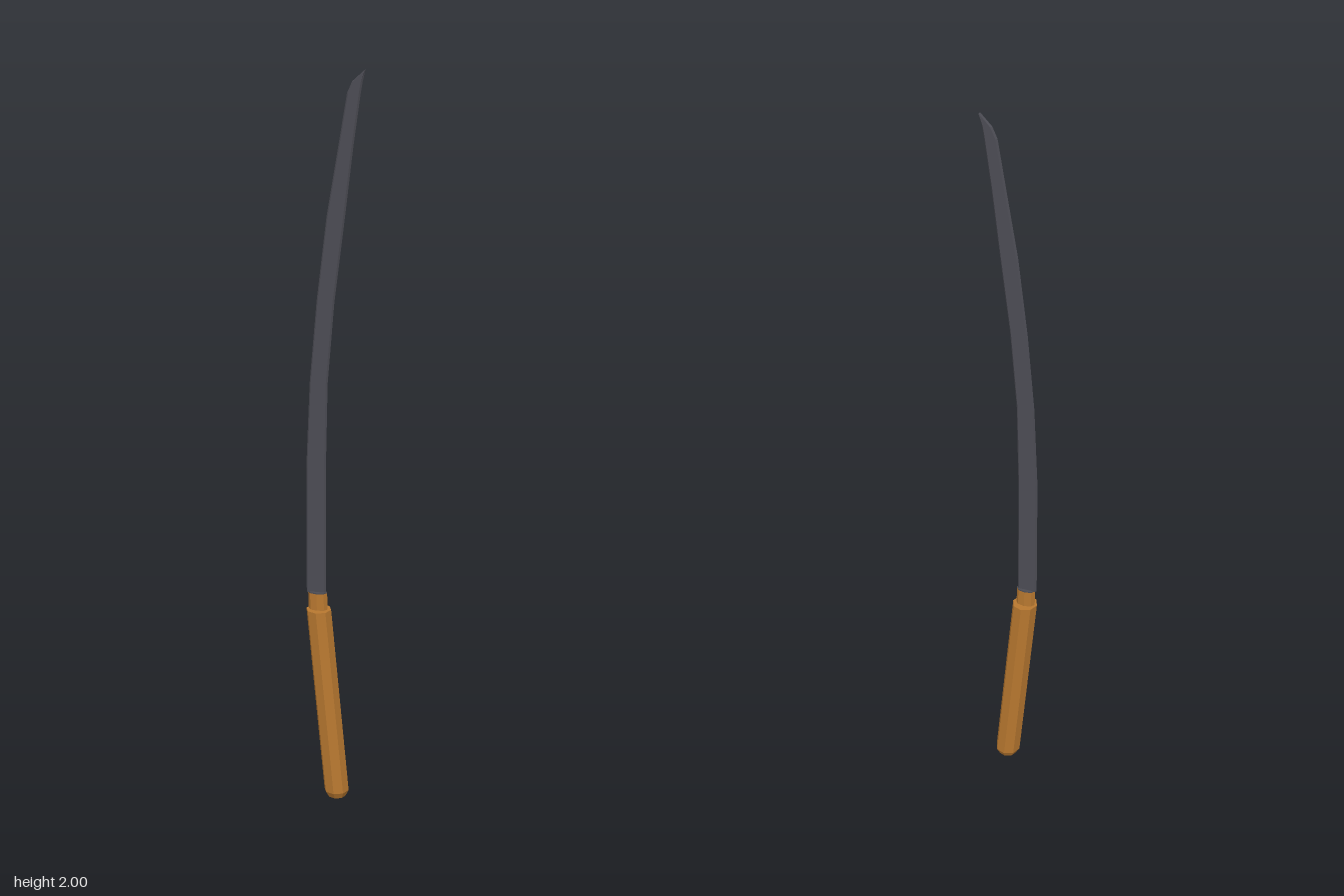
import * as THREE from 'three';

const wood = new THREE.MeshStandardMaterial({ color: 0xb87830, flatShading: true });
const steel = new THREE.MeshStandardMaterial({ color: 0x4c4c54, flatShading: true });

// Closed skin through rings of [x, y, z], each counter-clockwise from above, bottom to top
function loft(name, rings, material) {
  const n = rings[0].length, index = [];
  for (let r = 0; r < rings.length - 1; r++) {
    for (let i = 0; i < n; i++) {
      const a = r * n + i, b = r * n + (i + 1) % n;
      index.push(a, b, b + n, a, b + n, a + n);
    }
  }
  const top = (rings.length - 1) * n;
  for (let i = 1; i < n - 1; i++) {
    index.push(0, i + 1, i, top, top + i, top + i + 1);
  }
  const g = new THREE.BufferGeometry();
  g.setAttribute('position', new THREE.Float32BufferAttribute(rings.flat(2), 3));
  g.setIndex(index);
  const geometry = g.toNonIndexed();
  geometry.computeVertexNormals();
  const mesh = new THREE.Mesh(geometry, material);
  mesh.name = name;
  return mesh;
}

// Horizontal eight-sided ring
const octagon = (x, y, rx, rz) => Array.from({ length: 8 }, (_, i) => {
  const a = i * Math.PI / 4;
  return [x + rx * Math.cos(a), y, -rz * Math.sin(a)];
});

// Thin slab section with bevelled spine and edge
function bladeSection([y, spine, edge]) {
  const t = 0.005, b = Math.min(0.004, (edge - spine) * 0.3);
  return [[edge, y, 0], [edge - b, y, -t], [spine + b, y, -t],
    [spine, y, 0], [spine + b, y, t], [edge - b, y, t]];
}

export function createModel() {
  const group = new THREE.Group();
  group.name = 'sword';

  // Slanted grip with a chamfered butt
  group.add(loft('grip', [
    octagon(0.004, 0, 0.024, 0.024),
    octagon(0.003, 0.018, 0.034, 0.034),
    octagon(-0.046, 0.547, 0.034, 0.034),
  ], wood));

  // Oval collar and its dark cap
  group.add(loft('collar', [
    octagon(-0.047, 0.53, 0.026, 0.0145),
    octagon(-0.049, 0.594, 0.026, 0.0145),
  ], wood));
  group.add(loft('collarCap', [
    octagon(-0.049, 0.594, 0.026, 0.0145),
    octagon(-0.049, 0.597, 0.026, 0.0145),
  ], steel));

  // Curved blade: height, spine x, edge x
  const profile = [
    [0.595, -0.079, -0.026],
    [0.945, -0.079, -0.026],
    [1.18, -0.069, -0.021],
    [1.4, -0.05, -0.003],
    [1.62, -0.024, 0.024],
    [1.8, 0.006, 0.045],
    [1.94, 0.029, 0.064],
    [1.97, 0.042, 0.069],
    [2, 0.074, 0.076],
  ];
  group.add(loft('blade', profile.map(bladeSection), steel));
  return group;
}
